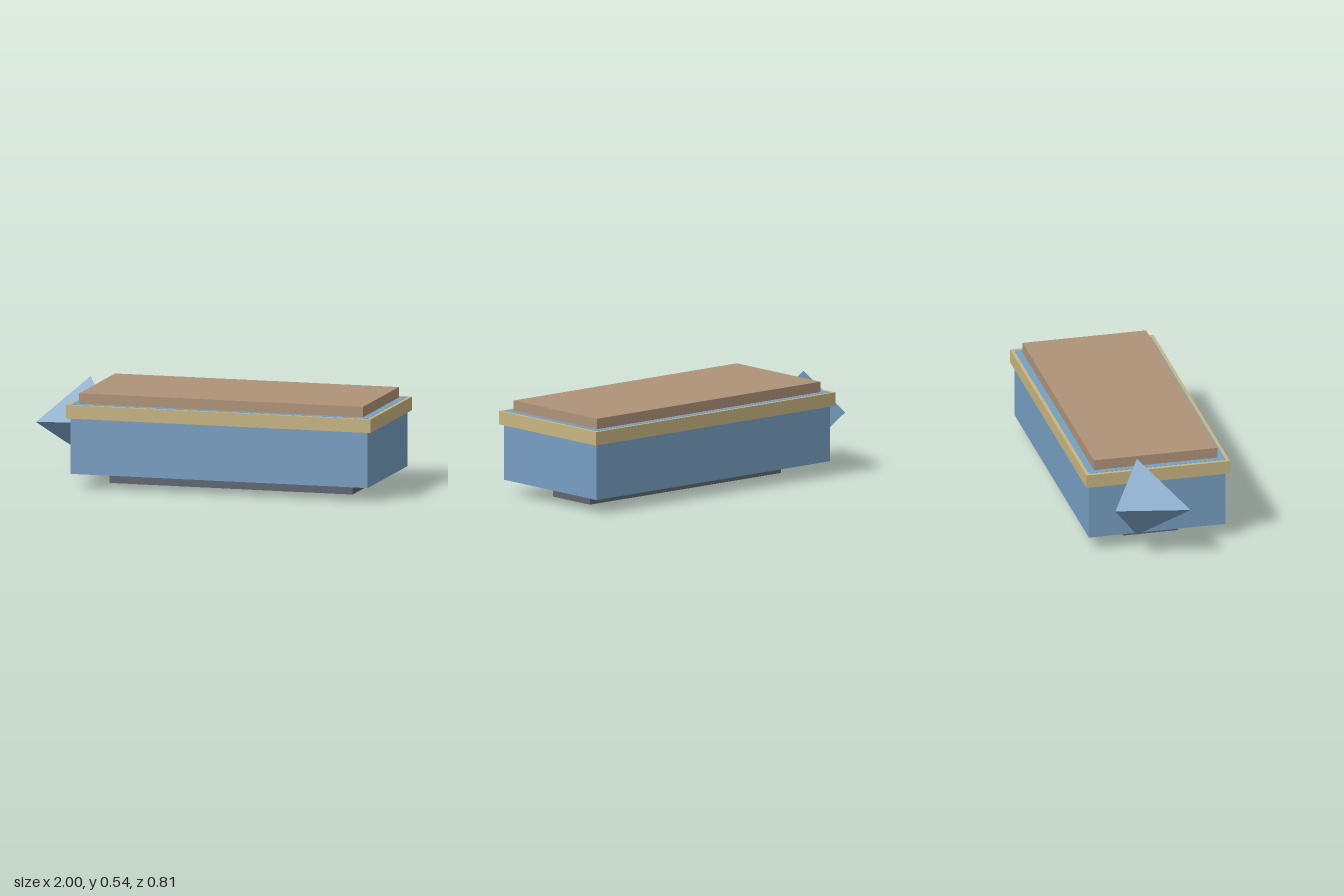
import * as THREE from 'three';

const material = (name, color) => {
  const m = new THREE.MeshStandardMaterial({ color });
  m.name = name;
  return m;
};

export function createModel() {
  const blue = material('blue', 0x779fc2);
  const tan = material('tan', 0xc8b582);
  const brown = material('brown', 0xae9378);
  const grey = material('dark grey', 0x5f6570);

  const model = new THREE.Group();
  model.name = 'boxWithSpike';
  const centreX = 0.129; // the stacked boxes share this axis

  const slab = (name, width, depth, bottom, top, mat) => {
    const mesh = new THREE.Mesh(new THREE.BoxGeometry(width, top - bottom, depth), mat);
    mesh.name = name;
    mesh.position.set(centreX, (bottom + top) / 2, 0);
    model.add(mesh);
  };

  // Foot, body, rim band and lid; the body shows just inside the rim's top
  slab('foot', 1.39, 0.309, 0, 0.08, grey);
  slab('body', 1.7, 0.774, 0.08, 0.466, blue);
  slab('rim', 1.742, 0.812, 0.39, 0.465, tan);
  slab('lid', 1.624, 0.698, 0.465, 0.524, brown);

  // Four-sided spike pointing diagonally out of the right end
  const cone = new THREE.ConeGeometry(0.229, 0.343, 4, 1).toNonIndexed();
  cone.rotateZ(Math.PI / 2).rotateY(Math.PI / 4);
  cone.computeVertexNormals();
  const spike = new THREE.Mesh(cone, blue);
  spike.name = 'spike';
  spike.position.set(-0.878, 0.313, -0.003);
  model.add(spike);

  return model;
}
